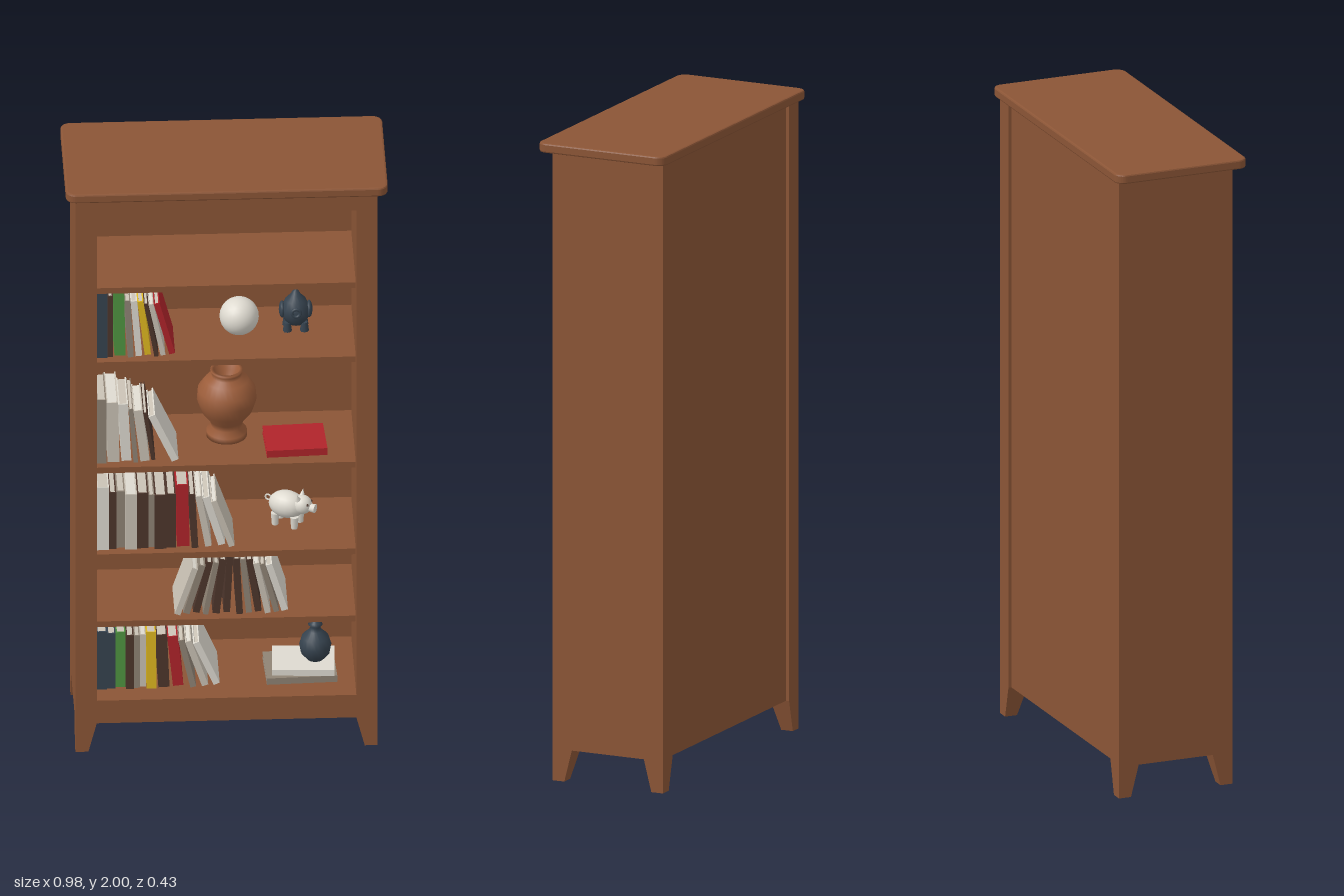
import * as THREE from 'three';

const mat = (name, color, side = THREE.FrontSide) => {
  const m = new THREE.MeshStandardMaterial({ color, side });
  m.name = name;
  return m;
};

export function createModel() {
  const model = new THREE.Group();
  model.name = 'bookcase';
  const wood = mat('brown wood', 0x8b5536);
  const clay = mat('terracotta', 0x9c5d3a, THREE.DoubleSide);
  const navy = mat('slate navy', 0x36434f, THREE.DoubleSide);
  const green = mat('green', 0x4f9440);
  const yellow = mat('yellow', 0xdfb820);
  const red = mat('red', 0xb0242a);
  const cream = mat('cream', 0xcac2b5);
  const brown = mat('dark brown', 0x4d362c);
  const gray = mat('warm gray', 0x8f8375);
  const white = mat('off white', 0xdedad0);

  const add = (name, geo, material, x = 0, y = 0, z = 0, parent = model) => {
    const m = new THREE.Mesh(geo, material);
    m.name = name;
    m.position.set(x, y, z);
    parent.add(m);
    return m;
  };
  // Box given by its minimum and maximum on each axis
  const slab = (name, material, x0, x1, y0, y1, z0, z1, parent = model) =>
    add(name, new THREE.BoxGeometry(x1 - x0, y1 - y0, z1 - z0), material,
      (x0 + x1) / 2, (y0 + y1) / 2, (z0 + z1) / 2, parent);
  const lathe = (points, segments = 24) =>
    new THREE.LatheGeometry(points.map(p => new THREE.Vector2(...p)), segments);

  // Case
  for (const s of [-1, 1]) {
    const [a, b] = s > 0 ? [0.395, 0.46] : [-0.46, -0.395];
    slab('sidePanel', wood, a, b, 0.1, 1.97, -0.2, 0.175);
  }
  slab('backPanel', wood, -0.395, 0.395, 0.1, 1.97, -0.19, -0.17);
  slab('bottomBoard', wood, -0.395, 0.395, 0.1, 0.18, -0.17, 0.175);
  slab('topRail', wood, -0.395, 0.395, 1.9, 1.97, -0.17, 0.175);
  for (const y of [0.437, 0.675, 0.983, 1.357, 1.62])
    slab('shelf', wood, -0.395, 0.395, y - 0.02, y, -0.17, 0.135);

  // Overhanging top with rounded corners
  const X = 0.484, Z = 0.21, R = 0.025;
  const outline = new THREE.Shape();
  outline.absarc(X - R, Z - R, R, 0, Math.PI / 2);
  outline.absarc(-X + R, Z - R, R, Math.PI / 2, Math.PI);
  outline.absarc(-X + R, -Z + R, R, Math.PI, Math.PI * 1.5);
  outline.absarc(X - R, -Z + R, R, Math.PI * 1.5, Math.PI * 2);
  const topGeo = new THREE.ExtrudeGeometry(outline, {
    depth: 0.02, bevelThickness: 0.005, bevelSize: 0.006, bevelSegments: 2, curveSegments: 5,
  });
  topGeo.rotateX(-Math.PI / 2);
  add('topBoard', topGeo, wood, 0, 1.975, 0);

  // Legs taper on their two inner faces
  for (const sx of [-1, 1]) for (const sz of [-1, 1]) {
    const geo = new THREE.BoxGeometry(0.065, 0.1, 0.065);
    const p = geo.attributes.position;
    for (let i = 0; i < p.count; i++) if (p.getY(i) < 0) {
      p.setX(i, p.getX(i) * sx < 0 ? -sx * 0.007 : sx * 0.0325);
      p.setZ(i, p.getZ(i) * sz < 0 ? -sz * 0.007 : sz * 0.0325);
    }
    geo.computeVertexNormals();
    add('leg', geo, wood, sx * 0.4275, 0.05, sz > 0 ? 0.1425 : -0.1675);
  }

  // Book: spine and two boards around a page block; spine faces +z
  const book = (cover, t, h, d) => {
    const g = new THREE.Group(), b = Math.min(0.004, t * 0.2);
    g.name = 'book';
    slab('spine', cover, 0, t, 0, h, -b, 0, g);
    slab('frontCover', cover, 0, b, 0, h, -d, -b, g);
    slab('backCover', cover, t - b, t, 0, h, -d, -b, g);
    slab('pages', cover === cream ? white : cream, b, t - b, 0.004, h - 0.004, 0.004 - d, -b, g);
    return g;
  };

  // Row of books: [cover, thickness, height, lean], positive lean tips to the -x side
  const bookRow = (x, y, list) => {
    let last = list[0][3] || 0;
    list.forEach(([cover, t, h, lean = 0], i) => {
      x += Math.max(0, 0.95 * h * (Math.tan(lean) - Math.tan(last)));
      const width = t / Math.cos(lean);
      const holder = new THREE.Group();
      holder.name = 'shelvedBook';
      const bk = book(cover, t, h, 0.16 + 0.012 * ((i * 2) % 4));
      if (lean < 0) bk.position.x = -t;
      holder.add(bk);
      holder.position.set(lean < 0 ? x + width : x, y, 0.11 - 0.006 * (i % 3));
      holder.rotation.z = lean;
      model.add(holder);
      x += width + 0.0005;
      last = lean;
    });
  };
  bookRow(-0.393, 1.357, [
    [navy, 0.034, 0.235], [brown, 0.016, 0.215], [green, 0.034, 0.222, 0.02], [gray, 0.018, 0.2, 0.05],
    [white, 0.02, 0.195, 0.08], [yellow, 0.019, 0.19, 0.12], [brown, 0.013, 0.19, 0.17],
    [cream, 0.015, 0.185, 0.2], [red, 0.018, 0.185, 0.26]]);
  bookRow(-0.393, 0.983, [
    [gray, 0.03, 0.225], [cream, 0.036, 0.21, 0.02], [white, 0.03, 0.2, 0.05], [gray, 0.014, 0.19, 0.08],
    [cream, 0.028, 0.18, 0.12], [brown, 0.012, 0.17, 0.15], [white, 0.022, 0.175, 0.42]]);
  bookRow(-0.393, 0.675, [
    [white, 0.038, 0.222], [brown, 0.022, 0.2], [gray, 0.026, 0.2], [cream, 0.036, 0.195],
    [brown, 0.034, 0.195], [gray, 0.018, 0.185], [brown, 0.036, 0.19], [brown, 0.028, 0.19],
    [red, 0.038, 0.218, 0.02], [brown, 0.02, 0.19, 0.05], [cream, 0.02, 0.18, 0.17],
    [white, 0.022, 0.175, 0.28], [cream, 0.018, 0.17, 0.33]]);
  bookRow(-0.157, 0.437, [
    [cream, 0.018, 0.17, -0.32], [gray, 0.02, 0.175, -0.28], [brown, 0.02, 0.18, -0.23],
    [gray, 0.016, 0.185, -0.18], [brown, 0.022, 0.19, -0.11], [brown, 0.02, 0.195, -0.05],
    [brown, 0.02, 0.195, 0.05], [gray, 0.018, 0.19, 0.1], [brown, 0.02, 0.185, 0.15],
    [cream, 0.018, 0.18, 0.2], [gray, 0.016, 0.175, 0.25], [white, 0.02, 0.17, 0.29]]);
  bookRow(-0.393, 0.18, [
    [navy, 0.032, 0.205], [navy, 0.026, 0.195], [green, 0.03, 0.195], [brown, 0.024, 0.19],
    [gray, 0.018, 0.185], [cream, 0.018, 0.185], [yellow, 0.03, 0.2, 0.01], [brown, 0.034, 0.185, 0.04],
    [red, 0.032, 0.175, 0.1], [gray, 0.018, 0.17, 0.22], [cream, 0.02, 0.165, 0.32], [white, 0.02, 0.16, 0.4]]);

  // Books lying flat, centred on x
  const flatBook = (cover, t, h, d, x, y, z, turn) => {
    const holder = new THREE.Group();
    holder.name = 'flatBook';
    const bk = book(cover, t, h, d);
    bk.rotation.z = Math.PI / 2;
    bk.position.set(h / 2, 0, d / 2);
    holder.add(bk);
    holder.position.set(x, y, z);
    holder.rotation.y = turn;
    model.add(holder);
  };
  flatBook(red, 0.024, 0.185, 0.15, 0.215, 0.983, 0.02, 0.05);
  flatBook(gray, 0.022, 0.215, 0.16, 0.23, 0.18, 0.02, 0.04);
  flatBook(white, 0.02, 0.19, 0.145, 0.24, 0.202, 0.02, -0.05);

  // Terracotta urn, hollow at the mouth
  add('urn', lathe([[0, 0], [0.062, 0], [0.062, 0.018], [0.046, 0.034], [0.052, 0.055], [0.078, 0.09],
    [0.091, 0.13], [0.088, 0.165], [0.066, 0.197], [0.046, 0.21], [0.046, 0.222], [0.05, 0.232],
    [0.04, 0.232], [0.036, 0.208], [0, 0.15]], 28), clay, 0.01, 0.983, -0.045);

  // Small dark bottle on the stacked books
  add('bottle', lathe([[0, 0], [0.026, 0], [0.044, 0.022], [0.049, 0.05], [0.041, 0.077], [0.02, 0.098],
    [0.014, 0.11], [0.022, 0.12], [0.014, 0.124], [0.008, 0.134], [0, 0.136]], 20), navy, 0.277, 0.222, 0.02);

  // White ball ornament
  add('ballOrnament', new THREE.IcosahedronGeometry(0.06, 4), white, 0.047, 1.418, -0.02);

  // Dark bird figure
  const bird = new THREE.Group();
  bird.name = 'birdFigure';
  bird.position.set(0.22, 1.357, -0.045);
  model.add(bird);
  add('birdBody', lathe([[0, 0.016], [0.028, 0.022], [0.044, 0.05], [0.043, 0.075], [0.032, 0.1],
    [0.016, 0.117], [0.009, 0.13], [0, 0.137]], 16), navy, 0, 0, 0, bird);
  add('birdChestRing', new THREE.TorusGeometry(0.013, 0.005, 8, 16), navy, 0, 0.075, 0.042, bird);
  for (const s of [-1, 1]) {
    for (const z of [-0.018, 0.018])
      add('birdFoot', new THREE.CylinderGeometry(0.01, 0.014, 0.03, 8), navy, s * 0.026, 0.015, z, bird);
    const wing = add('birdWing', new THREE.SphereGeometry(0.03, 10, 8), navy, s * 0.041, 0.066, 0, bird);
    wing.scale.set(0.35, 0.9, 0.9);
  }

  // White pig figure facing +x
  const pig = new THREE.Group();
  pig.name = 'pigFigure';
  pig.position.set(0.2, 0.675, -0.025);
  pig.rotation.y = -0.45;
  model.add(pig);
  const ball = new THREE.SphereGeometry(1, 18, 12);
  add('pigBody', ball, white, -0.008, 0.066, 0, pig).scale.set(0.058, 0.043, 0.042);
  add('pigHead', ball, white, 0.043, 0.076, 0, pig).scale.set(0.03, 0.03, 0.03);
  add('pigSnout', new THREE.CylinderGeometry(0.012, 0.014, 0.022, 12), white, 0.075, 0.071, 0, pig).rotation.z = Math.PI / 2;
  add('pigTail', new THREE.TorusGeometry(0.009, 0.003, 6, 12), white, -0.07, 0.076, 0, pig);
  for (const s of [-1, 1]) {
    add('pigEar', new THREE.ConeGeometry(0.011, 0.026, 8), white, 0.036, 0.106, s * 0.018, pig).rotation.x = s * 0.4;
    add('pigEye', ball, brown, 0.066, 0.086, s * 0.015, pig).scale.setScalar(0.004);
    for (const x of [-0.038, 0.026])
      add('pigLeg', new THREE.CylinderGeometry(0.013, 0.01, 0.04, 10), white, x, 0.02, s * 0.022, pig);
  }
  return model;
}
